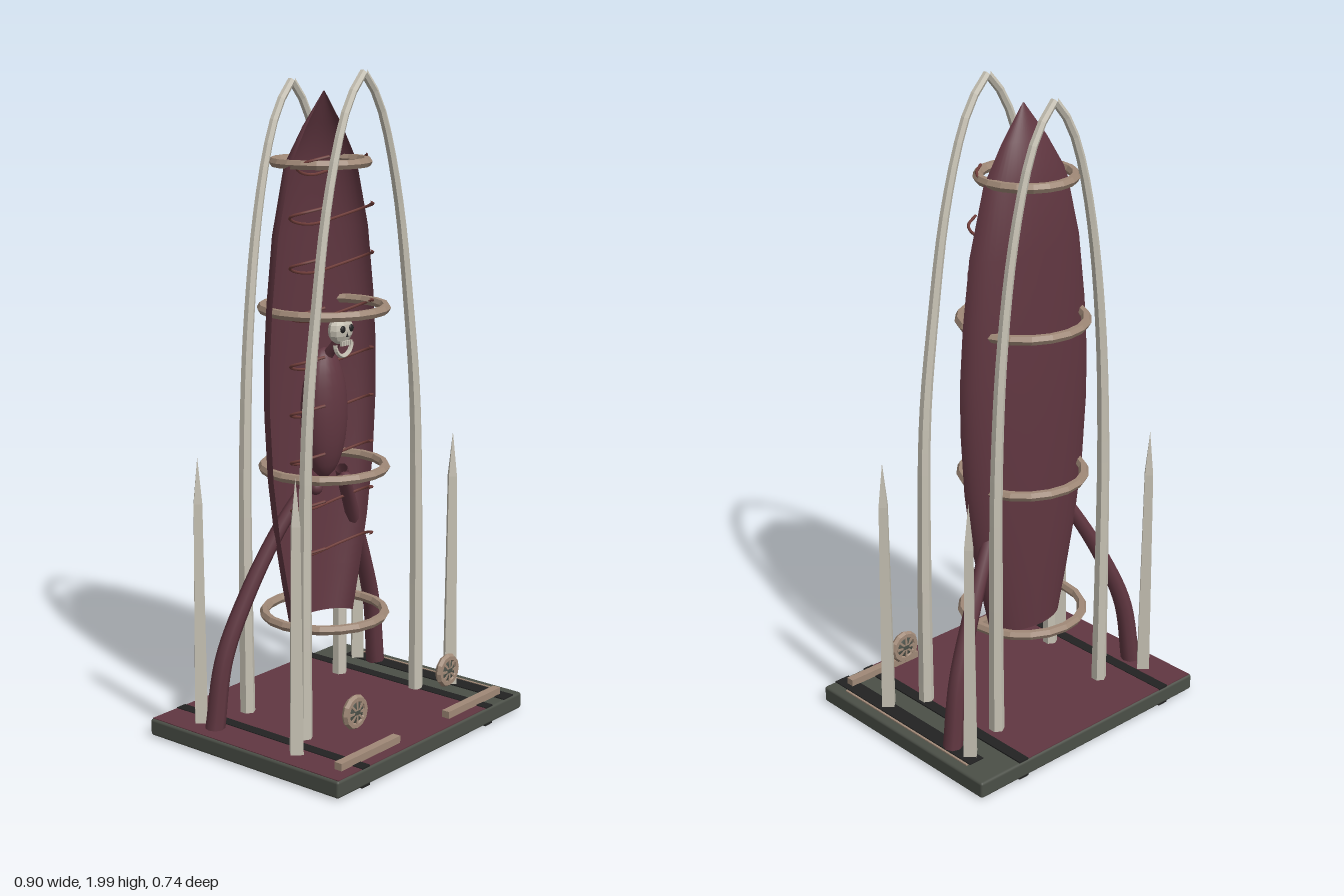
import * as THREE from 'three';
import { RoundedBoxGeometry } from 'three/addons/geometries/RoundedBoxGeometry.js';

const V = (x, y, z) => new THREE.Vector3(x, y, z);

export function createModel() {
  const model = new THREE.Group();
  const paint = (name, color, extra = {}) => {
    const m = new THREE.MeshStandardMaterial({ color, ...extra });
    m.name = name;
    return m;
  };
  const maroon = paint('maroon', 0x613741, { side: THREE.DoubleSide });
  const bone = paint('bone', 0xc8c3b5, { flatShading: true });
  const tan = paint('tan', 0xa08977, { flatShading: true });
  const grey = paint('grey', 0x4b4f47);
  const black = paint('black', 0x222222);
  const rust = paint('rust', 0x74403c);

  const add = (name, geo, mat, x = 0, y = 0, z = 0, parent = model) => {
    const m = new THREE.Mesh(geo, mat);
    m.name = name;
    m.position.set(x, y, z);
    parent.add(m);
    return m;
  };
  const box = (w, h, d) => new THREE.BoxGeometry(w, h, d);
  const ball = (rx, ry, rz, a = 16, b = 12) => new THREE.SphereGeometry(1, a, b).scale(rx, ry, rz);

  // Tube along points, its radius running from r0 to r1
  const limb = (pts, r0, r1, sides = 6, steps = 24) => {
    const curve = new THREE.CatmullRomCurve3(pts);
    const geo = new THREE.TubeGeometry(curve, steps, 1, sides);
    const pos = geo.attributes.position, v = V(0, 0, 0);
    for (let i = 0; i < pos.count; i++) {
      const t = Math.floor(i / (sides + 1)) / steps;
      const c = curve.getPointAt(t);
      v.fromBufferAttribute(pos, i).sub(c).multiplyScalar(r0 + (r1 - r0) * t).add(c);
      pos.setXYZ(i, v.x, v.y, v.z);
    }
    return geo;
  };

  // Base slab with floor panel and inlaid strips
  add('base', new RoundedBoxGeometry(0.904, 0.052, 0.74, 2, 0.008), grey, 0, 0.031, 0);
  add('floorPanel', box(0.71, 0.006, 0.73), maroon, -0.09, 0.056, 0);
  for (const x of [-0.323, 0.28]) {
    add('floorStrip', box(0.036, 0.008, 0.732), black, x, 0.057, 0);
    add('undersideStrip', box(0.036, 0.008, 0.732), black, x, 0.004, 0);
  }
  add('sideChannel', box(0.052, 0.008, 0.64), black, 0.385, 0.056, 0.046);
  add('sideTrim', box(0.007, 0.007, 0.57), tan, 0.418, 0.057, 0.015);

  // Hollow half shell, open to the front
  const profile = [[0.135, 0.32], [0.17, 0.46], [0.205, 0.62], [0.232, 0.8], [0.245, 1.0], [0.245, 1.15],
    [0.232, 1.32], [0.205, 1.52], [0.15, 1.72], [0.08, 1.83], [0.002, 1.93]];
  const shell = new THREE.LatheGeometry(profile.map(([r, y]) => new THREE.Vector2(r, y)), 24, Math.PI / 2, Math.PI);
  const sp = shell.attributes.position;
  for (let i = 0; i < sp.count; i++) {
    const r = Math.hypot(sp.getX(i), sp.getZ(i));
    sp.setZ(i, sp.getZ(i) * (r < 0.13 ? 0.57 : (0.055 + 0.2 * r) / r));
  }
  shell.computeVertexNormals();
  add('shell', shell, maroon, 0, 0, -0.058);

  // Hoops around the shell
  for (const [y, r] of [[0.35, 0.185], [0.81, 0.185], [1.295, 0.185], [1.725, 0.138]]) {
    add('hoop', new THREE.TorusGeometry(r, 0.015, 6, 20).rotateX(Math.PI / 2), tan, 0, y, r < 0.15 ? -0.072 : -0.06);
  }

  // Thin curved ribs inside the shell
  for (let i = 0; i < 9; i++) {
    const y = 0.59 + i * 0.145;
    const w = i === 8 ? 0.135 : 0.17;
    const half = s => [V(s * w * 0.6, y, 0.03), V(s * w * 0.92, y - 0.012, 0.0), V(s * w, y - 0.025, -0.04),
      V(s * w * 0.6, y - 0.05, -0.085)];
    const pts = [...half(-1), V(0, y - 0.065, -0.1), ...half(1).reverse()];
    add('rib', limb(pts, 0.0045, 0.0045, 5, 32), rust);
  }

  // Pointed arches, front and back, each of two mirrored halves
  const arch = (name, z, pts) => {
    for (const s of [-1, 1]) {
      add(name, limb(pts.map(([x, y]) => V(s * x, y, z)), 0.024, 0.012, 6, 28), bone);
    }
  };
  arch('frontArch', 0.09, [[0.268, 0.05], [0.266, 0.5], [0.252, 1.0], [0.216, 1.3], [0.167, 1.6], [0.105, 1.82],
    [0.058, 1.92], [0, 1.986]]);
  arch('backArch', -0.182, [[0.22, 0.05], [0.222, 0.5], [0.218, 0.9], [0.198, 1.25], [0.155, 1.57], [0.1, 1.79],
    [0.055, 1.89], [0, 1.956]]);

  for (const s of [-1, 1]) {
    // Corner spikes
    for (const z of [0.148, -0.232]) {
      add('spike', new THREE.CylinderGeometry(0.018, 0.027, 0.68, 4), bone, s * 0.372, 0.4, z);
      add('spikeTip', new THREE.ConeGeometry(0.018, 0.14, 4), bone, s * 0.372, 0.81, z);
    }
    // Splayed struts running from the hips to the floor
    add('strut', limb([V(s * 0.07, 0.79, -0.05), V(s * 0.17, 0.64, -0.095), V(s * 0.27, 0.46, -0.13),
      V(s * 0.35, 0.27, -0.155), V(s * 0.383, 0.055, -0.165)], 0.02, 0.03, 8), maroon);
    add('hipJoint', ball(0.022, 0.022, 0.022), maroon, s * 0.07, 0.76, -0.035);

    // Round ornaments
    const ornament = new THREE.Group();
    ornament.name = 'ornament';
    ornament.position.set(s * 0.225, 0.165, 0.245);
    model.add(ornament);
    add('ornamentRim', new THREE.TorusGeometry(0.041, 0.012, 6, 12), tan, 0, 0, 0, ornament);
    add('ornamentCore', ball(0.036, 0.036, 0.012, 10, 8), grey, 0, 0, 0, ornament);
    for (let k = 0; k < 4; k++) {
      add('ornamentSpoke', box(0.076, 0.007, 0.022), tan, 0, 0, 0, ornament).rotation.z = k * Math.PI / 4;
    }

    add('frontBar', box(0.27, 0.022, 0.026), tan, s * 0.255, 0.07, 0.318);
  }

  // Suspended figure: torso, neck, skull and jaw
  add('torso', ball(0.083, 0.2, 0.062, 20, 14), maroon, 0, 0.975, -0.06);
  add('neck', limb([V(0, 1.08, -0.06), V(0, 1.15, -0.045), V(0, 1.19, -0.015), V(0, 1.22, 0.0)], 0.022, 0.012, 8, 10), maroon);
  add('skull', ball(0.048, 0.044, 0.028, 10, 8), bone, 0, 1.235, 0.004);
  add('jaw', new THREE.TorusGeometry(0.038, 0.007, 5, 12, Math.PI).rotateZ(Math.PI), bone, 0, 1.195, 0.015);
  for (const s of [-1, 1]) add('eye', ball(0.011, 0.011, 0.005, 10, 8), black, s * 0.019, 1.24, 0.029);
  add('nose', new THREE.ConeGeometry(0.006, 0.013, 4), black, 0, 1.222, 0.03);
  for (let i = -2; i <= 2; i++) add('tooth', box(0.007, 0.014, 0.008), bone, i * 0.01, 1.197, 0.026);

  return model;
}
